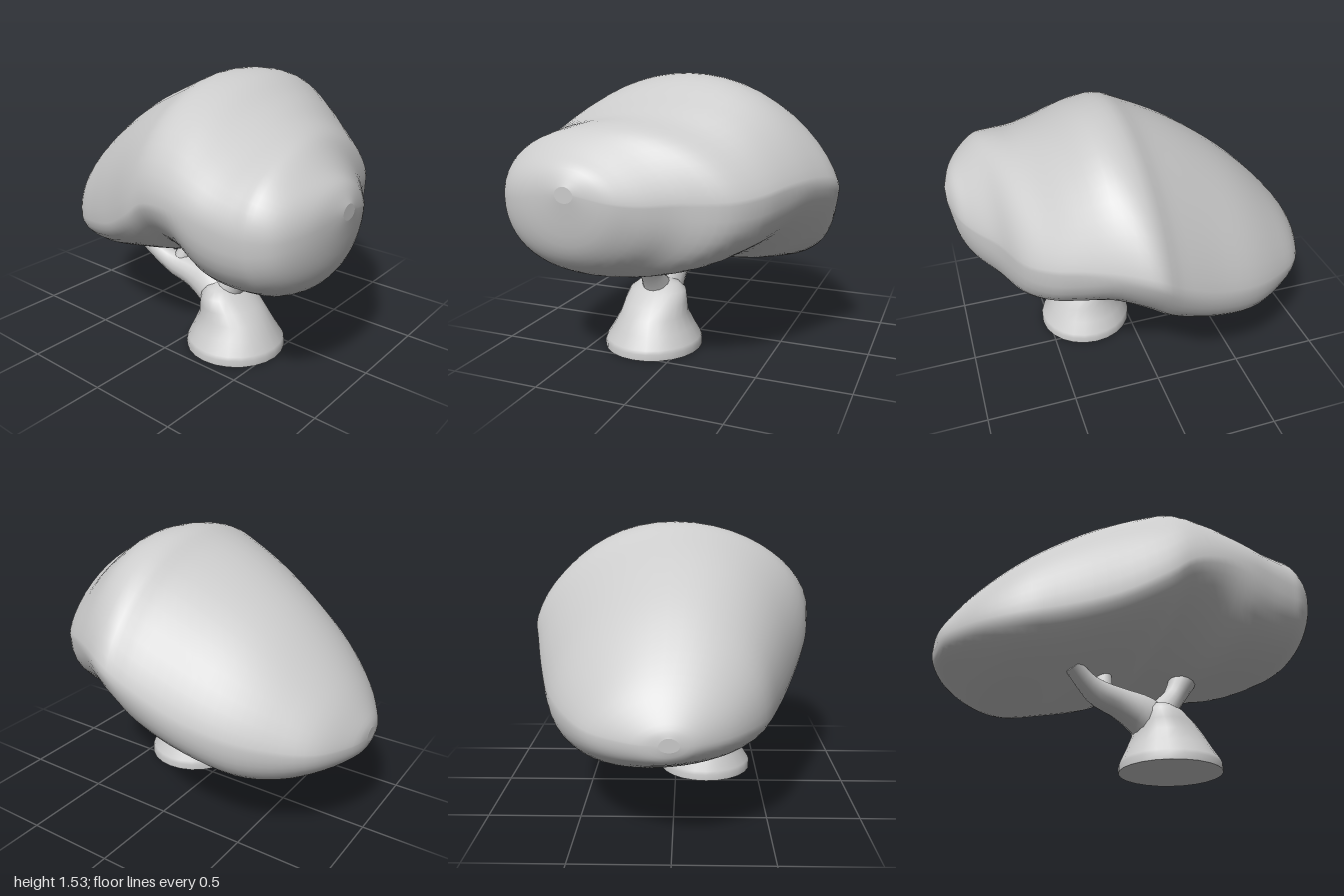
import * as THREE from 'three';

const material = new THREE.MeshStandardMaterial({ color: 0xcccccc });

// Skin over equally sized rings of points, with flat caps at both ends
function loft(name, rings) {
  const n = rings[0].length, pos = [], index = [];
  rings.forEach(r => r.forEach(p => pos.push(p.x, p.y, p.z)));
  for (let i = 0; i < rings.length - 1; i++) {
    for (let j = 0; j < n; j++) {
      const a = i * n + j, b = i * n + (j + 1) % n;
      index.push(a, a + n, b, b, a + n, b + n);
    }
  }
  for (const end of [0, 1]) {
    const ring = rings[end ? rings.length - 1 : 0], start = pos.length / 3;
    const mid = ring.reduce((s, p) => s.add(p), new THREE.Vector3()).divideScalar(n);
    [...ring, mid].forEach(p => pos.push(p.x, p.y, p.z));
    for (let j = 0; j < n; j++) {
      const a = start + j, b = start + (j + 1) % n;
      index.push(start + n, end ? b : a, end ? a : b);
    }
  }
  const geo = new THREE.BufferGeometry();
  geo.setAttribute('position', new THREE.Float32BufferAttribute(pos, 3));
  geo.setIndex(index);
  geo.computeVertexNormals();
  const mesh = new THREE.Mesh(geo, material);
  mesh.name = name;
  return mesh;
}

// Catmull-Rom blend between rows of numbers
function sampleRows(rows, t) {
  const f = t * (rows.length - 1), i = Math.min(Math.floor(f), rows.length - 2), u = f - i;
  const at = k => rows[Math.max(0, Math.min(rows.length - 1, k))];
  return rows[0].map((_, c) => {
    const [a, b, d, e] = [at(i - 1)[c], at(i)[c], at(i + 1)[c], at(i + 2)[c]];
    return b + 0.5 * u * (d - a + u * (2 * a - 5 * b + 4 * d - e + u * (3 * (b - d) + e - a)));
  });
}

// Canopy sections: x, back z, front z, top y, bottom y, y of widest line,
// shift of underside in z, shift of crest in z, underside sharpness
const canopySections = [
  [-1.00, -0.06, 0.04, 0.63, 0.56, 0.59, 0.00, 0.00, 1.0],
  [-0.975, -0.19, 0.14, 0.69, 0.50, 0.59, -0.02, 0.02, 1.0],
  [-0.87, -0.40, 0.31, 0.84, 0.44, 0.60, -0.05, 0.05, 0.95],
  [-0.70, -0.54, 0.46, 1.02, 0.37, 0.62, -0.10, 0.08, 0.95],
  [-0.50, -0.65, 0.55, 1.19, 0.36, 0.66, -0.14, 0.11, 0.95],
  [-0.25, -0.73, 0.65, 1.355, 0.42, 0.74, -0.16, 0.12, 1.0],
  [-0.02, -0.79, 0.74, 1.47, 0.47, 0.87, -0.13, 0.09, 1.1],
  [0.12, -0.815, 0.77, 1.53, 0.52, 0.97, -0.07, 0.04, 1.25],
  [0.28, -0.74, 0.795, 1.51, 0.53, 1.00, 0.02, -0.07, 1.2],
  [0.44, -0.645, 0.81, 1.415, 0.51, 0.99, 0.08, -0.08, 0.95],
  [0.58, -0.55, 0.80, 1.34, 0.51, 0.96, 0.07, 0.0, 0.85],
  [0.70, -0.42, 0.785, 1.305, 0.525, 0.94, 0.05, 0.05, 0.85],
  [0.79, -0.21, 0.765, 1.265, 0.555, 0.94, 0.02, 0.05, 0.85],
  [0.89, -0.05, 0.69, 1.185, 0.62, 0.94, 0.00, 0.02, 0.9],
  [0.96, 0.08, 0.54, 1.12, 0.74, 0.96, 0.00, 0.00, 1.0],
  [1.00, 0.24, 0.34, 1.04, 0.96, 1.00, 0.00, 0.00, 1.0],
];

function canopy() {
  const rings = [], steps = 60, sides = 48;
  for (let i = 0; i <= steps; i++) {
    const [x, back, front, top, bottom, wide, under, crest, sharp] = sampleRows(canopySections, i / steps);
    const ring = [];
    for (let j = 0; j < sides; j++) {
      const a = j / sides * Math.PI * 2, c = Math.cos(a), s = Math.sin(a);
      const low = Math.pow(Math.max(0, -s), sharp);
      const high = Math.pow(Math.max(0, s), 1.2 - 0.2 * c);
      const y = wide + (top - wide) * high - (wide - bottom) * low;
      const z = (back + front) / 2 + (front - back) / 2 * c + under * low * low + crest * high * high;
      ring.push(new THREE.Vector3(x, y, z));
    }
    rings.push(ring);
  }
  return loft('canopy', rings);
}

// Tapering limb along a curve; stations are x, y, z, radius
function limb(name, stations, sides = 14, steps = 14) {
  const curve = new THREE.CatmullRomCurve3(stations.map(s => new THREE.Vector3(s[0], s[1], s[2])));
  const { normals, binormals } = curve.computeFrenetFrames(steps);
  const rings = [];
  for (let i = 0; i <= steps; i++) {
    const t = curve.getUtoTmapping(i / steps), p = curve.getPoint(t);
    const r = sampleRows(stations, t)[3], ring = [];
    for (let j = 0; j < sides; j++) {
      const a = -j / sides * Math.PI * 2;
      ring.push(p.clone().addScaledVector(normals[i], r * Math.cos(a))
        .addScaledVector(binormals[i], r * Math.sin(a)));
    }
    rings.push(ring);
  }
  return loft(name, rings);
}

// Flared trunk: horizontal rings of y, centre x, radius x, radius z
function trunk() {
  const rows = [
    [0, 0.26, 0.278, 0.278], [0.035, 0.26, 0.278, 0.278], [0.055, 0.26, 0.27, 0.27],
    [0.12, 0.255, 0.235, 0.23], [0.19, 0.25, 0.20, 0.193], [0.25, 0.225, 0.17, 0.182],
    [0.31, 0.195, 0.125, 0.165], [0.345, 0.18, 0.085, 0.12], [0.365, 0.175, 0.04, 0.06],
  ];
  const sides = 24;
  return loft('trunk', rows.map(([y, cx, rx, rz]) => Array.from({ length: sides }, (_, j) => {
    const a = -j / sides * Math.PI * 2;
    return new THREE.Vector3(cx + rx * Math.sin(a), y, 0.185 + rz * Math.cos(a));
  })));
}

export function createModel() {
  const group = new THREE.Group();
  group.name = 'tree';
  group.add(
    canopy(),
    trunk(),
    limb('mainBranch', [[0.2, 0.22, 0.185, 0.12], [0.09, 0.3, 0.185, 0.11], [-0.04, 0.345, 0.19, 0.085],
      [-0.17, 0.375, 0.205, 0.072], [-0.26, 0.42, 0.23, 0.054], [-0.34, 0.485, 0.255, 0.048]]),
    limb('upperTwig', [[-0.15, 0.37, 0.2, 0.06], [-0.13, 0.45, 0.18, 0.046], [-0.115, 0.56, 0.14, 0.04]]),
    limb('sideBranch', [[0.19, 0.29, 0.185, 0.09], [0.245, 0.365, 0.185, 0.072], [0.3, 0.44, 0.185, 0.062],
      [0.365, 0.56, 0.185, 0.078]]),
  );
  return group;
}
